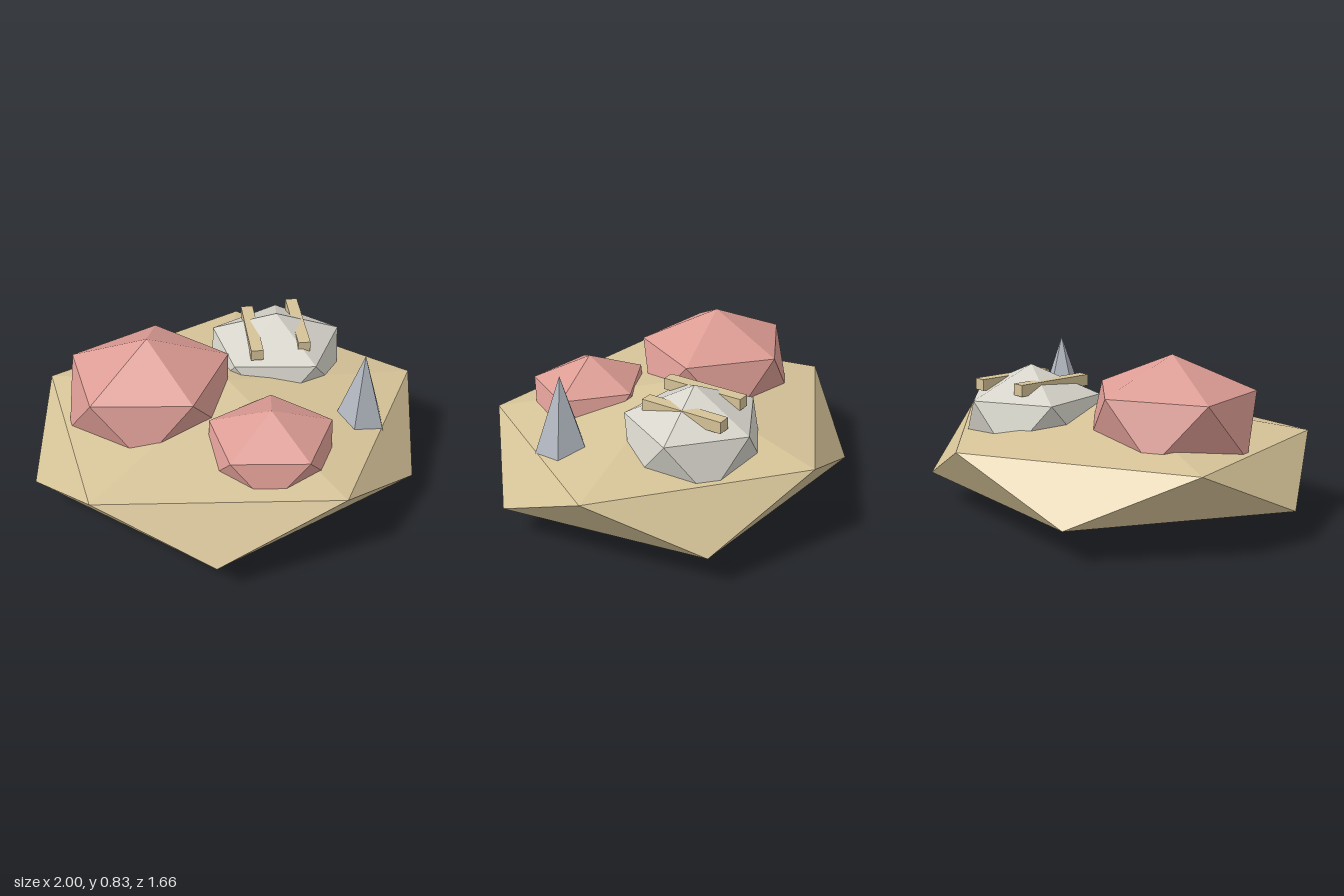
import * as THREE from 'three';

const flat = (name, color) => {
  const m = new THREE.MeshStandardMaterial({ color, flatShading: true });
  m.name = name;
  return m;
};

// Unit icosahedron standing on a vertex: two poles and two staggered rings of five
function boulderGeometry() {
  const h = Math.sqrt(0.2), r = 2 * h;
  const top = [0, 1, 0], bottom = [0, -1, 0];
  const ring = (y, offset) => (i) => {
    const a = offset + (i * Math.PI * 2) / 5;
    return [r * Math.cos(a), y, r * Math.sin(a)];
  };
  const upper = ring(h, 0), lower = ring(-h, Math.PI / 5);
  const corners = [];
  for (let i = 0; i < 5; i++) {
    corners.push(top, upper(i + 1), upper(i));
    corners.push(upper(i), upper(i + 1), lower(i));
    corners.push(lower(i), upper(i + 1), lower(i + 1));
    corners.push(bottom, lower(i), lower(i + 1));
  }
  const g = new THREE.BufferGeometry();
  g.setAttribute('position', new THREE.Float32BufferAttribute(corners.flat(), 3));
  g.computeVertexNormals();
  return g;
}

export function createModel() {
  const model = new THREE.Group();
  model.name = 'rockyIsland';

  const sand = flat('sand', 0xd6c398);
  const coral = flat('coral', 0xdc9c94);
  const paleStone = flat('paleStone', 0xd6d4ca);
  const slate = flat('slate', 0xb2b7c0);

  const add = (name, geometry, material, x, y, z) => {
    const mesh = new THREE.Mesh(geometry, material);
    mesh.name = name;
    mesh.position.set(x, y, z);
    model.add(mesh);
    return mesh;
  };

  // Island and boulders: one squashed shape at different sizes
  const boulder = boulderGeometry();
  const addBoulder = (name, material, [x, y, z], [rx, ry, rz]) =>
    add(name, boulder, material, x, y, z).scale.set(rx, ry, rz);
  addBoulder('island', sand, [0, 0.282, 0], [1.118, 0.282, 0.977]);
  addBoulder('largeCoralBoulder', coral, [-0.38, 0.523, -0.085], [0.458, 0.307, 0.424]);
  addBoulder('smallCoralBoulder', coral, [0.08, 0.44, 0.42], [0.347, 0.226, 0.318]);
  addBoulder('paleBoulder', paleStone, [0.34, 0.464, -0.255], [0.391, 0.271, 0.36]);

  // Two slanted bars resting across the pale boulder
  const bar = new THREE.BoxGeometry(0.062, 0.056, 0.42);
  for (const [name, x] of [['rightBar', 0.21], ['leftBar', 0.46]]) {
    add(name, bar, sand, x, 0.645, -0.255).rotation.y = -0.19;
  }

  // Five-sided spire with a corner towards the back
  const spire = new THREE.ConeGeometry(0.136, 0.395, 5);
  add('spire', spire, slate, 0.593, 0.5875, 0.3).rotation.y = Math.PI;

  return model;
}
